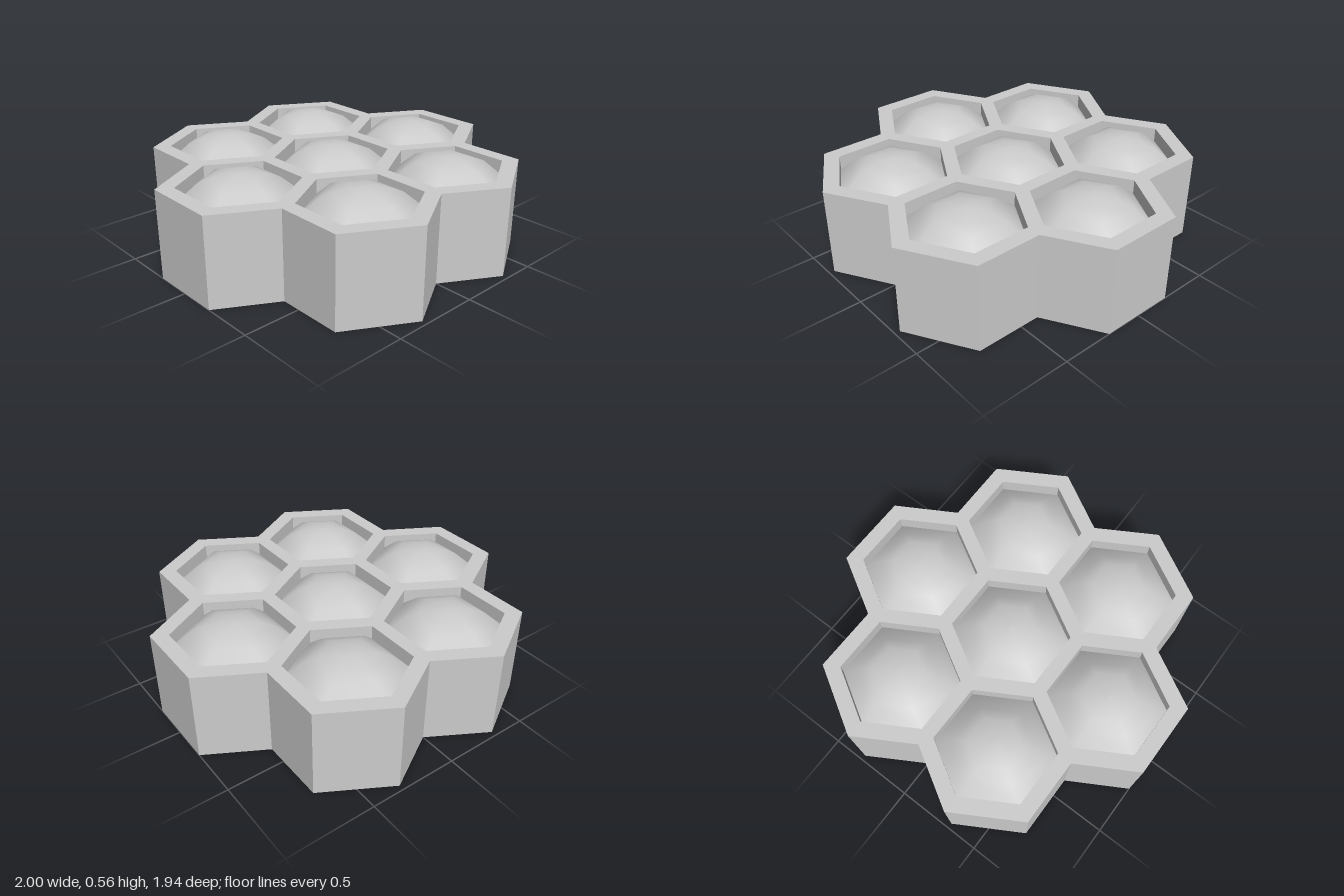
import * as THREE from 'three';

const PITCH = 0.637;     // distance between cell centres
const HOLE = 0.323;      // corner radius of a cell opening
const TOP = 0.5;         // rim height
const FLOOR = 0.42;      // height where a dome meets its cell wall
const NOTCH = 0.786;     // radius of the inward corners of the outline

const material = (flatShading) => new THREE.MeshStandardMaterial({
  color: 0xcccccc, side: THREE.DoubleSide, flatShading,
});

// Middle cell plus a ring of six
const centres = [new THREE.Vector2(0, 0)];
for (let k = 0; k < 6; k++) {
  const a = k * Math.PI / 3;
  centres.push(new THREE.Vector2(PITCH * Math.cos(a), PITCH * Math.sin(a)));
}

// Outer outline: two corners per ring cell, then a notch before the next one
function outlinePoints() {
  const pts = [];
  const origin = new THREE.Vector2();
  for (let k = 0; k < 6; k++) {
    const a = k * Math.PI / 3;
    for (const side of [-0.21, 0.21]) pts.push(new THREE.Vector2(1, side).rotateAround(origin, a));
    pts.push(new THREE.Vector2(NOTCH, 0).rotateAround(origin, a + Math.PI / 6));
  }
  return pts;
}

// Hexagon with corners pointing along z
function hexPoints(centre, radius) {
  return Array.from({ length: 6 }, (_, j) => {
    const a = Math.PI / 6 + j * Math.PI / 3;
    return new THREE.Vector2(centre.x + radius * Math.cos(a), centre.y + radius * Math.sin(a));
  });
}

// Open vertical band following a closed outline
function wallGeometry(pts, y0, y1) {
  const pos = [];
  pts.forEach((a, i) => {
    const b = pts[(i + 1) % pts.length];
    pos.push(a.x, y0, a.y, a.x, y1, a.y, b.x, y1, b.y);
    pos.push(a.x, y0, a.y, b.x, y1, b.y, b.x, y0, b.y);
  });
  const geo = new THREE.BufferGeometry();
  geo.setAttribute('position', new THREE.Float32BufferAttribute(pos, 3));
  geo.computeVertexNormals();
  return geo;
}

export function createModel() {
  const group = new THREE.Group();
  group.name = 'honeycombTray';
  const flat = material(true);
  const smooth = material(false);
  const add = (name, geo, mat) => {
    const mesh = new THREE.Mesh(geo, mat);
    mesh.name = name;
    group.add(mesh);
    return mesh;
  };

  // Outer wall, open underneath
  const outline = outlinePoints();
  add('outerWall', wallGeometry(outline, 0, TOP), flat);

  // Flat rim with seven openings
  const rim = new THREE.Shape(outline);
  for (const c of centres) rim.holes.push(new THREE.Path(hexPoints(c, HOLE)));
  add('topRim', new THREE.ShapeGeometry(rim).rotateX(-Math.PI / 2).translate(0, TOP, 0), flat);

  // Short wall inside each opening, reversed to face the cell centre
  const cellWall = wallGeometry(hexPoints(new THREE.Vector2(), HOLE).reverse(), FLOOR, TOP);

  // Six-sided smooth dome
  const profile = [[HOLE, FLOOR], [0.215, 0.511], [0.145, 0.538], [0.067, 0.557], [0, 0.56]]
    .map(([r, y]) => new THREE.Vector2(r, y));
  const dome = new THREE.LatheGeometry(profile, 6);

  for (const c of centres) {
    add('cellWall', cellWall, flat).position.set(c.x, 0, c.y);
    add('dome', dome, smooth).position.set(c.x, 0, c.y);
  }
  return group;
}
